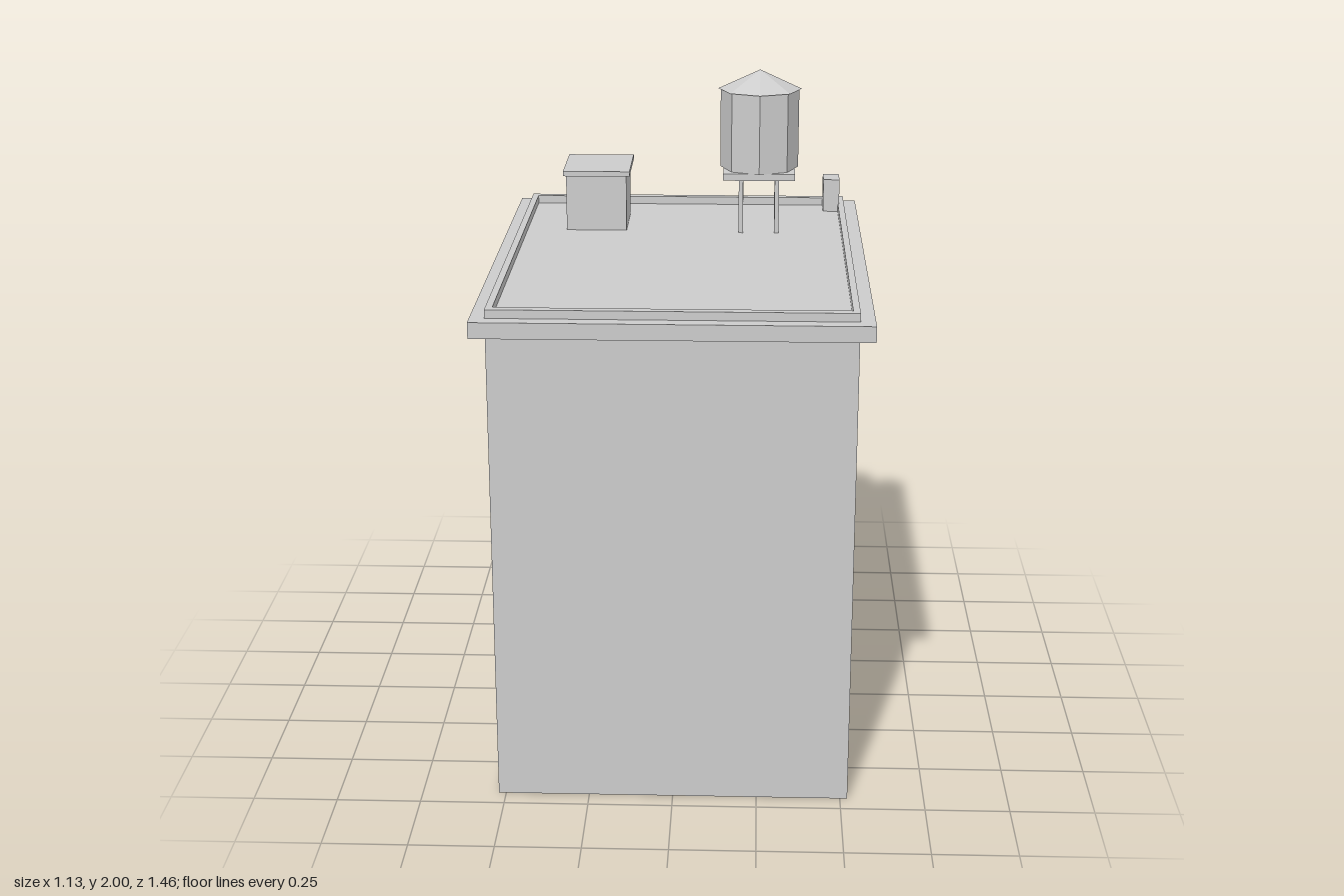
import * as THREE from 'three';

export function createModel() {
  const model = new THREE.Group();
  model.name = 'rooftopBuilding';
  const concrete = new THREE.MeshStandardMaterial({ color: 0xcccccc, flatShading: true, side: THREE.DoubleSide });
  concrete.name = 'concreteGrey';

  const add = (name, geometry, x, y, z, parent = model) => {
    const mesh = new THREE.Mesh(geometry, concrete);
    mesh.name = name;
    mesh.position.set(x, y, z);
    parent.add(mesh);
    return mesh;
  };
  // box given by its limits along each axis
  const block = (name, x0, x1, y0, y1, z0, z1, parent) =>
    add(name, new THREE.BoxGeometry(x1 - x0, y1 - y0, z1 - z0),
      (x0 + x1) / 2, (y0 + y1) / 2, (z0 + z1) / 2, parent);

  const deck = 1.487;

  // outer walls, open at the bottom and top (top and bottom faces dropped)
  const walls = new THREE.BoxGeometry(1.044, 1.44, 1.38);
  const index = Array.from(walls.index.array);
  walls.setIndex([...index.slice(0, 12), ...index.slice(24)]);
  walls.clearGroups();
  add('walls', walls, 0, 0.72, 0);

  // overhanging cornice slab, its top is the roof deck
  block('cornice', -0.565, 0.565, 1.44, deck, -0.732, 0.732);

  // low parapet frame around the roof
  const rect = (P, w, d) => new P([[-w, -d], [w, -d], [w, d], [-w, d]].map(([x, y]) => new THREE.Vector2(x, y)));
  const frame = rect(THREE.Shape, 0.522, 0.69);
  frame.holes.push(rect(THREE.Path, 0.502, 0.664));
  const parapet = new THREE.ExtrudeGeometry(frame, { depth: 0.025, bevelEnabled: false });
  parapet.rotateX(-Math.PI / 2);
  add('parapet', parapet, 0, deck, 0);

  // stair hut with a thin overhanging roof
  const hut = new THREE.Group();
  hut.name = 'stairHut';
  model.add(hut);
  block('hutWalls', -0.376, -0.184, deck, 1.665, -0.532, -0.304, hut);
  block('hutRoof', -0.385, -0.173, 1.665, 1.681, -0.544, -0.292, hut);

  // chimney in the back left corner
  block('chimney', 0.453, 0.506, deck, 1.594, -0.665, -0.579);

  // water tower: four legs, platform, eight-sided tank and pointed roof
  const tower = new THREE.Group();
  tower.name = 'waterTower';
  tower.position.set(0.239, 0, -0.348);
  model.add(tower);
  for (const sx of [-1, 1]) {
    for (const sz of [-1, 1]) {
      const x = sx * 0.057, z = sz * 0.057;
      block('towerLeg', x - 0.007, x + 0.007, deck, 1.668, z - 0.007, z + 0.007, tower);
    }
  }
  block('towerPlatform', -0.113, 0.113, 1.668, 1.69, -0.113, 0.113, tower);
  add('tank', new THREE.CylinderGeometry(0.124, 0.124, 0.25, 8), 0, 1.815, 0, tower);
  add('tankRoof', new THREE.ConeGeometry(0.132, 0.06, 8), 0, 1.97, 0, tower);

  return model;
}
